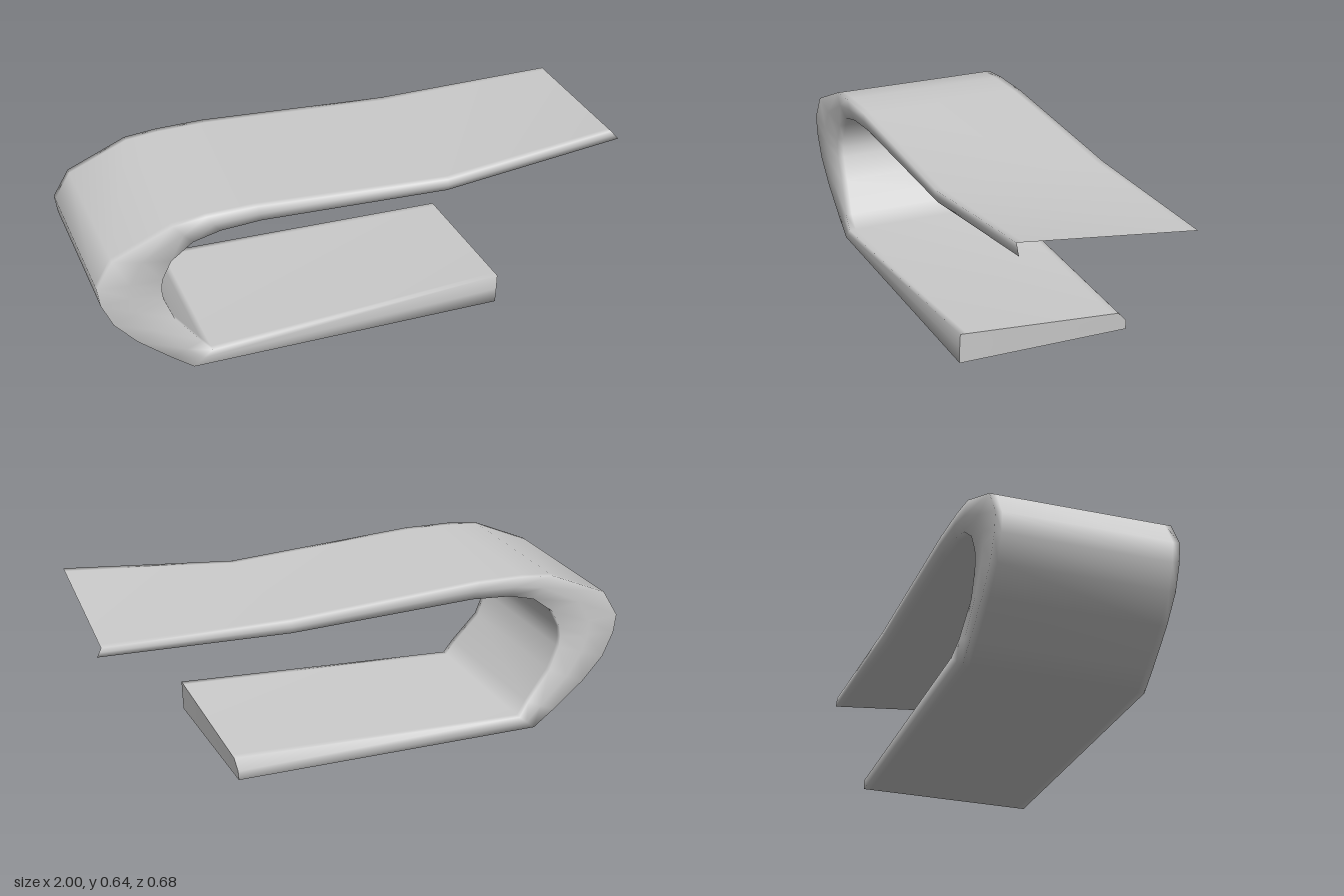
import * as THREE from 'three';

// Stations along the band, lower tip -> bend -> upper tip:
// front edge [outerX, outerY, innerX, innerY], optional back edge in the same form
const STATIONS = [
  { f: [0.51, 0, 0.515, 0.115], b: [0.51, 0, 0.515, 0.07], wi: [0.327, 0.295] },
  { f: [-0.67, 0, -0.6, 0.06], wi: [0.335, 0.343] },
  { f: [-0.75, 0.06, -0.64, 0.11], wi: [0.335, 0.33] },
  { f: [-0.87, 0.16, -0.73, 0.22] },
  { f: [-0.95, 0.25, -0.765, 0.31] },
  { f: [-0.99, 0.34, -0.77, 0.35] },
  { f: [-1, 0.41, -0.765, 0.39] },
  { f: [-0.94, 0.51, -0.73, 0.46] },
  { f: [-0.72, 0.605, -0.65, 0.52] },
  { f: [-0.6, 0.617, -0.55, 0.545] },
  { f: [-0.42, 0.62, -0.4, 0.555] },
  { f: [0.3, 0.58, 0.3, 0.53] },
  { f: [0.95, 0.645, 0.98, 0.61], b: [0.985, 0.585, 1, 0.553], wo: [0.315, 0.328], wi: [0.32, 0.328] },
];
const INSET = 0.025;

// Closed cross-section: outer face back to front, then inner face front to back
function section({ f, b = f, wo = [0.328, 0.328], wi = [0.318, 0.318] }) {
  const wm = [0, 1].map((k) => Math.max((wo[k] + wi[k]) / 2, wo[k] + 0.001));
  const at = (z, w) => {
    const t = THREE.MathUtils.clamp(0.5 - z / 0.656, 0, 1);
    const p = f.map((v, k) => THREE.MathUtils.lerp(v, b[k], t));
    return new THREE.Vector3(
      THREE.MathUtils.lerp(p[0], p[2], w), THREE.MathUtils.lerp(p[1], p[3], w), z);
  };
  return [
    at(-wo[1], 0), at(-wo[1] + INSET, 0), at(wo[0] - INSET, 0), at(wo[0], 0),
    at(wm[0], 0.5),
    at(wi[0], 1), at(wi[0] - INSET, 1), at(-wi[1] + INSET, 1), at(-wi[1], 1),
    at(-wm[1], 0.5),
  ];
}

// Smooth skin joining consecutive sections
function skin(rings) {
  const n = rings[0].length;
  const index = [];
  for (let i = 0; i < rings.length - 1; i++) {
    for (let j = 0; j < n; j++) {
      const k = (j + 1) % n;
      const a = i * n + j, b = i * n + k, c = a + n, d = b + n;
      index.push(a, b, c, b, d, c);
    }
  }
  const g = new THREE.BufferGeometry().setFromPoints(rings.flat());
  g.setIndex(index);
  g.computeVertexNormals();
  return g;
}

// Flat end face as a fan around its centre
function cap(ring, flip) {
  const centre = ring.reduce((s, p) => s.add(p), new THREE.Vector3()).divideScalar(ring.length);
  const index = [];
  for (let j = 0; j < ring.length; j++) {
    const a = j + 1, b = ((j + 1) % ring.length) + 1;
    index.push(0, ...(flip ? [b, a] : [a, b]));
  }
  const g = new THREE.BufferGeometry().setFromPoints([centre, ...ring]);
  g.setIndex(index);
  g.computeVertexNormals();
  return g;
}

export function createModel() {
  const group = new THREE.Group();
  group.name = 'bentClip';
  const material = new THREE.MeshStandardMaterial({ color: 0xcccccc });
  const rings = STATIONS.map(section);
  const add = (name, geometry) => {
    const mesh = new THREE.Mesh(geometry, material);
    mesh.name = name;
    group.add(mesh);
  };

  add('bentBand', skin(rings));
  add('lowerEnd', cap(rings[0], true));
  add('upperEnd', cap(rings[rings.length - 1], true));
  return group;
}
